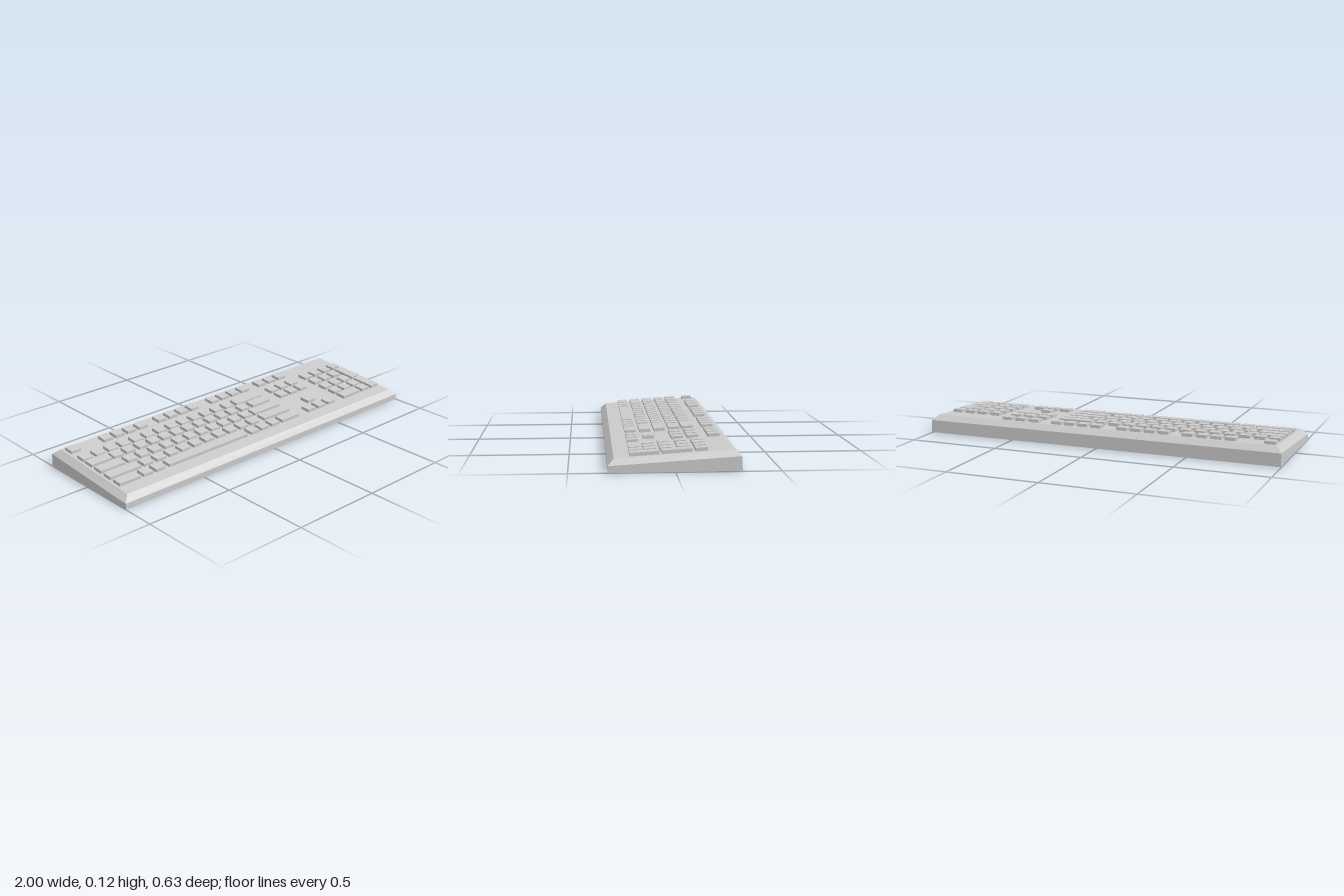
import * as THREE from 'three';

const material = new THREE.MeshStandardMaterial({ color: 0xcccccc, flatShading: true, side: THREE.DoubleSide });
const SLOPE = Math.atan(0.0658);   // tilt of the key deck
const DECK_Y = 0.082;              // deck height at z = 0
const KEY = 0.058, UP = 0.0165, DOWN = 0.03;

// Hollow case: three rectangular rings (foot, lip, bevel top) closed by the deck
function caseGeometry() {
  const rings = [
    // half width, front z, front y, back z, back y
    [1, 0.315, 0, -0.314, 0.003],
    [1, 0.316, 0.033, -0.31, 0.072],
    [0.968, 0.287, 0.063, -0.277, 0.1],
  ];
  const positions = [], index = [];
  for (const [w, zf, yf, zb, yb] of rings) {
    positions.push(-w, yf, zf, w, yf, zf, w, yb, zb, -w, yb, zb);
  }
  for (let r = 0; r < rings.length - 1; r++) {
    for (let i = 0; i < 4; i++) {
      const a = r * 4 + i, b = r * 4 + (i + 1) % 4;
      index.push(a, b, b + 4, a, b + 4, a + 4);
    }
  }
  index.push(8, 9, 10, 8, 10, 11);
  const g = new THREE.BufferGeometry();
  g.setAttribute('position', new THREE.Float32BufferAttribute(positions, 3));
  g.setIndex(index);
  const flat = g.toNonIndexed();
  flat.computeVertexNormals();
  return flat;
}

// Key cap: a box left open at the bottom
function capGeometry(width, depth) {
  const g = new THREE.BoxGeometry(width, UP + DOWN, depth);
  const faces = Array.from(g.index.array);
  faces.splice(18, 6);
  g.setIndex(faces);
  g.clearGroups();
  return g;
}

export function createModel() {
  const model = new THREE.Group();
  model.name = 'keyboard';

  const shell = new THREE.Mesh(caseGeometry(), material);
  shell.name = 'case';
  model.add(shell);

  const deck = new THREE.Group();
  deck.name = 'keys';
  deck.position.y = DECK_Y;
  deck.rotation.x = SLOPE;
  model.add(deck);

  // One key from its left edge, row centre, width and depth
  const key = (name, left, z, width = KEY, depth = KEY) => {
    const m = new THREE.Mesh(capGeometry(width, depth), material);
    m.name = name;
    m.position.set(left + width / 2, (UP - DOWN) / 2, z);
    deck.add(m);
  };
  // A run of equal keys
  const run = (name, left, z, count, pitch) => {
    for (let i = 0; i < count; i++) key(name, left + i * pitch, z);
  };

  // Row centres, back to front
  const [R0, R1, R2, R3, R4, R5] = [-0.227, -0.121, -0.051, 0.027, 0.104, 0.182];

  // Back row
  key('escapeKey', -0.954, R0);
  for (const x of [-0.749, -0.385, -0.003]) run('topRowKey', x, R0, 4, 0.077);

  // Main block
  run('numberKey', -0.954, R1, 13, 0.0807);
  key('backspaceKey', 0.094, R1, 0.193);

  key('tabKey', -0.954, R2, 0.128);
  run('letterKey', -0.813, R2, 12, 0.08);
  key('slashKey', 0.152, R2, 0.135);

  key('capsKey', -0.954, R3, 0.15);
  run('letterKey', -0.783, R3, 11, 0.08);
  key('enterKey', 0.094, R3, 0.193);

  key('leftShiftKey', -0.954, R4, 0.192);
  run('letterKey', -0.741, R4, 10, 0.082);
  key('rightShiftKey', 0.094, R4, 0.193);

  key('controlKey', -0.954, R5, 0.13);
  run('modifierKey', -0.805, R5, 2, 0.077);
  key('spaceBar', -0.643, R5, 0.54);
  run('modifierKey', -0.077, R5, 3, 0.0775);
  key('controlKey', 0.157, R5, 0.13);

  // Navigation block and arrows
  for (const z of [R0, R1, -0.043]) run('navigationKey', 0.364, z, 3, 0.08);
  key('arrowKey', 0.444, 0.097);
  run('arrowKey', 0.364, R5, 3, 0.08);

  // Number pad
  run('padKey', 0.656, -0.128, 4, 0.079);
  for (const z of [-0.049, 0.036, 0.112]) run('padKey', 0.656, z, 3, 0.079);
  key('padZeroKey', 0.656, R5, 0.137);
  key('padPointKey', 0.814, R5);
  key('padPlusKey', 0.893, -0.011, KEY, 0.143);
  key('padEnterKey', 0.893, 0.142, KEY, 0.14);

  return model;
}
